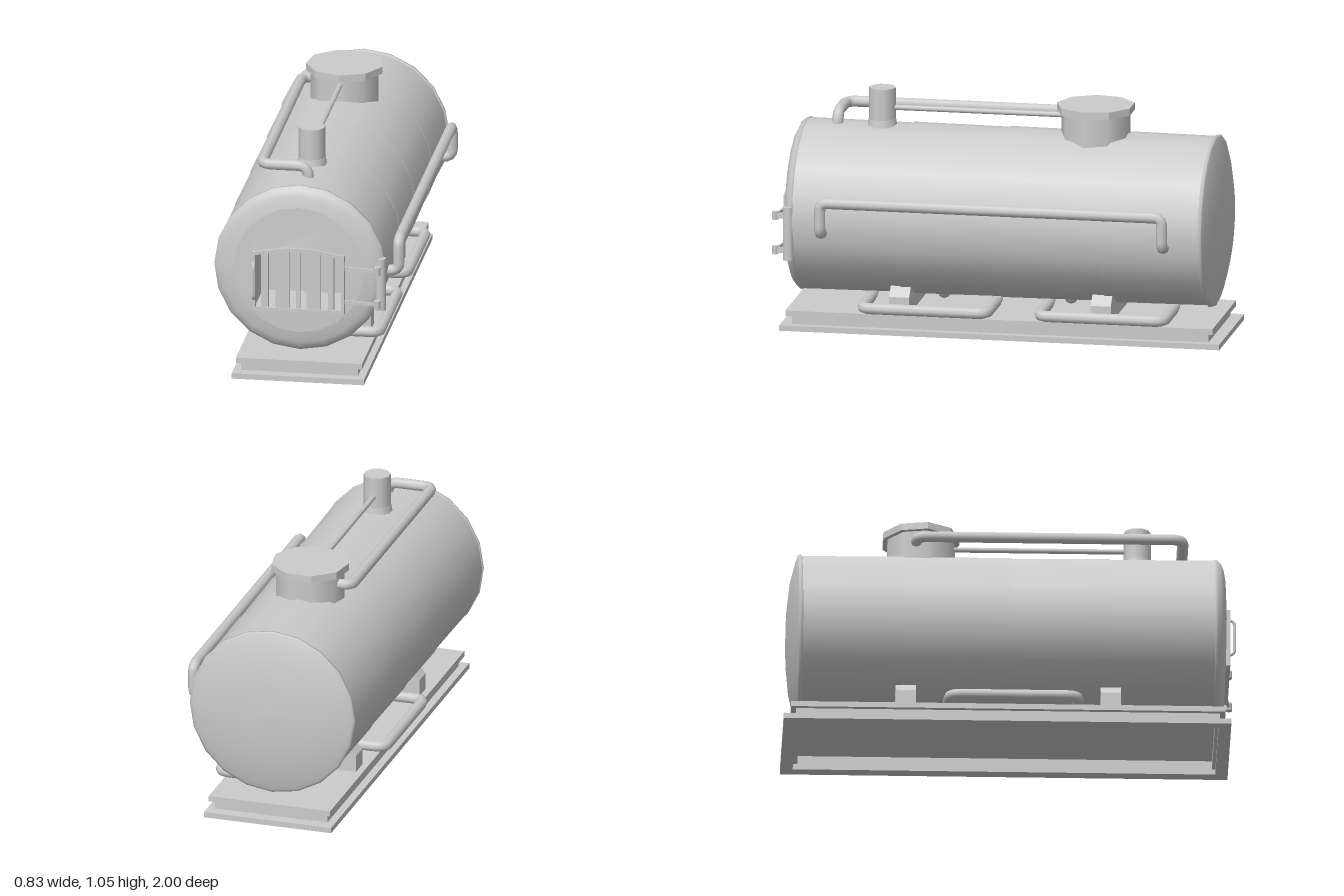
import * as THREE from 'three';

const CX = -0.035, CY = 0.515, R = 0.38, SIDES = 20;

export function createModel() {
  const model = new THREE.Group();
  const grey = new THREE.MeshStandardMaterial({ color: 0xcccccc });
  const flat = new THREE.MeshStandardMaterial({ color: 0xcccccc, flatShading: true });
  const open = new THREE.MeshStandardMaterial({ color: 0xcccccc, side: THREE.DoubleSide });
  const inner = new THREE.MeshStandardMaterial({ color: 0xcccccc, side: THREE.BackSide });
  const V = (x, y, z) => new THREE.Vector3(x, y, z);

  function add(name, geometry, material, x = 0, y = 0, z = 0) {
    const mesh = new THREE.Mesh(geometry, material);
    mesh.name = name;
    mesh.position.set(x, y, z);
    model.add(mesh);
    return mesh;
  }
  // box from its limits
  const box = (name, x0, x1, y0, y1, z0, z1, mat = flat) =>
    add(name, new THREE.BoxGeometry(x1 - x0, y1 - y0, z1 - z0), mat,
      (x0 + x1) / 2, (y0 + y1) / 2, (z0 + z1) / 2);
  const toShape = (pts) => new THREE.Shape(pts.map((p) => new THREE.Vector2(p[0], p[1])));
  const extrude = (shape, depth) => new THREE.ExtrudeGeometry(shape, { depth, bevelEnabled: false });

  // pipe through corner points with rounded elbows
  function pipe(name, pts, r = 0.025, bend = 0.05, segments = 90) {
    const path = new THREE.CurvePath();
    let last = pts[0];
    for (let i = 1; i < pts.length - 1; i++) {
      const a = pts[i].clone().add(pts[i - 1].clone().sub(pts[i]).setLength(bend));
      const b = pts[i].clone().add(pts[i + 1].clone().sub(pts[i]).setLength(bend));
      path.add(new THREE.LineCurve3(last, a));
      path.add(new THREE.QuadraticBezierCurve3(a, pts[i], b));
      last = b;
    }
    path.add(new THREE.LineCurve3(last, pts[pts.length - 1]));
    return add(name, new THREE.TubeGeometry(path, segments, r, 8), open);
  }

  // surface of revolution about the tank axis, profile given as [radius, z]
  function turned(name, profile) {
    const g = new THREE.LatheGeometry(profile.map((p) => new THREE.Vector2(p[0], p[1])), SIDES);
    g.rotateX(Math.PI / 2);
    return add(name, g, open, CX, CY, 0);
  }

  // tank shell in four slightly tapered plates, with a rim at each end
  const seams = [-0.925, -0.47, 0.01, 0.445, 0.915];
  for (let i = 0; i < 4; i++) {
    turned('tankPlate', [[R - 0.005, seams[i]], [R - 0.001, seams[i + 1]], [R - 0.008, seams[i + 1]]]);
  }
  turned('backRim', [[R - 0.01, -0.935], [R + 0.002, -0.932], [R + 0.002, -0.918], [R - 0.01, -0.915]]);
  turned('frontRim', [[R - 0.01, 0.9], [R + 0.002, 0.903], [R + 0.002, 0.915], [R - 0.01, 0.918]]);
  turned('backCap', [[0, -0.985], [0.13, -0.981], [0.25, -0.968], [0.35, -0.943], [R, -0.93]]);
  turned('frontCapRing', [[R, 0.915], [0.368, 0.93], [0.34, 0.943], [0.29, 0.952]]);

  // arched outline shared by the fire hole and its door
  const arch = (x0, x1, y0, side, top) =>
    [[x0, y0], [x1, y0], [x1, side], [0.03, top], [-0.095, top], [x0, side]];
  const opening = arch(-0.225, 0.158, 0.34, 0.582, 0.606);

  // middle of the front cap, pierced by the fire hole and gently domed
  const disc = [];
  for (let i = 0; i < SIDES; i++) {
    const a = (i / SIDES) * Math.PI * 2;
    disc.push([CX + 0.29 * Math.cos(a), CY + 0.29 * Math.sin(a)]);
  }
  const capShape = toShape(disc);
  capShape.holes.push(toShape(opening));
  const capGeo = new THREE.ShapeGeometry(capShape);
  const p = capGeo.attributes.position;
  for (let i = 0; i < p.count; i++) {
    const r = Math.hypot(p.getX(i) - CX, p.getY(i) - CY);
    p.setZ(i, 0.964 - 0.012 * (r / 0.29) ** 2);
  }
  capGeo.computeVertexNormals();
  add('frontCapCentre', capGeo, open);
  box('firebox', -0.23, 0.163, 0.335, 0.612, 0.72, 0.951, inner);

  // barred fire door
  const frame = toShape(arch(-0.24, 0.172, 0.325, 0.595, 0.62));
  frame.holes.push(toShape(opening));
  add('doorFrame', extrude(frame, 0.025), flat, 0, 0, 0.948);
  for (const [x, w] of [[-0.184, 0.032], [-0.12, 0.03], [-0.09, 0.033], [-0.035, 0.018],
    [0.02, 0.033], [0.05, 0.03], [0.112, 0.025]]) {
    const top = 0.606 - 0.024 * Math.max(0, (Math.abs(x + 0.033) - 0.0625) / 0.13);
    box('doorBar', x - w / 2, x + w / 2, 0.335, top, 0.95, 0.968);
  }
  pipe('doorHandle', [V(-0.232, 0.375, 0.96), V(-0.232, 0.385, 0.992),
    V(-0.232, 0.54, 0.992), V(-0.232, 0.55, 0.96)], 0.007, 0.02, 30);

  // hinge post, straps and knuckles
  add('hingePost', new THREE.CylinderGeometry(0.024, 0.024, 0.24, 10), grey, 0.327, 0.46, 0.922);
  for (const y of [0.382, 0.538]) {
    const strap = add('hingeStrap', new THREE.BoxGeometry(0.16, 0.014, 0.01), flat, 0.242, y, 0.972);
    strap.rotation.y = -0.12;
    add('hingeKnuckle', new THREE.CylinderGeometry(0.015, 0.015, 0.036, 8), grey, 0.32, y, 0.982);
    box('hingeLink', 0.312, 0.33, y - 0.012, y + 0.012, 0.93, 0.98);
  }

  // chimney with foot collar
  add('chimney', new THREE.CylinderGeometry(0.06, 0.06, 0.2, 10), grey, CX, 0.955, 0.568);
  add('chimneyCollar', new THREE.CylinderGeometry(0.062, 0.07, 0.05, 10), grey, CX, 0.888, 0.568);

  // steam dome with lid
  add('steamDome', new THREE.CylinderGeometry(0.154, 0.154, 0.18, 9), grey, CX, 0.91, -0.39);
  add('steamDomeLid', new THREE.CylinderGeometry(0.174, 0.174, 0.032, 9), flat, CX, 1.004, -0.39);

  // pipes on top and on the side
  pipe('thinPipe', [V(CX, 0.965, 0.55), V(CX, 0.965, -0.3)], 0.012, 0.05, 1);
  pipe('steamPipe', [V(-0.12, 0.937, -0.41), V(-0.23, 0.937, -0.41), V(-0.23, 0.937, 0.765),
    V(-0.02, 0.937, 0.765), V(-0.02, 0.84, 0.765)]);
  pipe('sidePipe', [V(0.31, 0.47, 0.77), V(0.384, 0.475, 0.77), V(0.384, 0.617, 0.77),
    V(0.384, 0.617, -0.765), V(0.384, 0.475, -0.765), V(0.31, 0.47, -0.765)], 0.025, 0.035, 120);

  // looped drain pipes beneath the tank: two on the left, one on the right
  for (const [side, z0, z1] of [[1, 0.045, 0.605], [1, -0.75, -0.19], [-1, -0.27, 0.3]]) {
    const at = (dx, y, z) => V(CX + side * dx, y, z);
    pipe('drainPipe', [at(0.015, 0.2, z0), at(0.015, 0.121, z0), at(0.306, 0.121, z0),
      at(0.306, 0.121, z1), at(0.015, 0.121, z1), at(0.015, 0.2, z1)]);
  }

  // saddles carrying the tank
  const saddle = toShape([[-0.285, 0.088], [0.217, 0.088], [0.217, 0.165], [0.17, 0.215],
    [CX, 0.15], [-0.24, 0.215], [-0.285, 0.165]]);
  for (const z of [0.445, -0.46]) add('saddle', extrude(saddle, 0.09), flat, 0, 0, z - 0.045);

  // plinth: top plate over a hollow web and foot flange
  function ring(name, x0, x1, z0, z1, y, h, wall) {
    const rect = (m) => toShape([[x0 + m, -z1 + m], [x1 - m, -z1 + m], [x1 - m, -z0 - m], [x0 + m, -z0 - m]]);
    const s = rect(0);
    s.holes.push(rect(wall));
    add(name, extrude(s, h).rotateX(-Math.PI / 2), flat, 0, y, 0);
  }
  box('plinthTop', -0.315, 0.248, 0.065, 0.09, -0.967, 0.95);
  ring('plinthWeb', -0.295, 0.226, -0.945, 0.925, 0.025, 0.04, 0.02);
  ring('plinthFoot', -0.33, 0.26, -1, 0.975, 0, 0.025, 0.055);

  return model;
}
